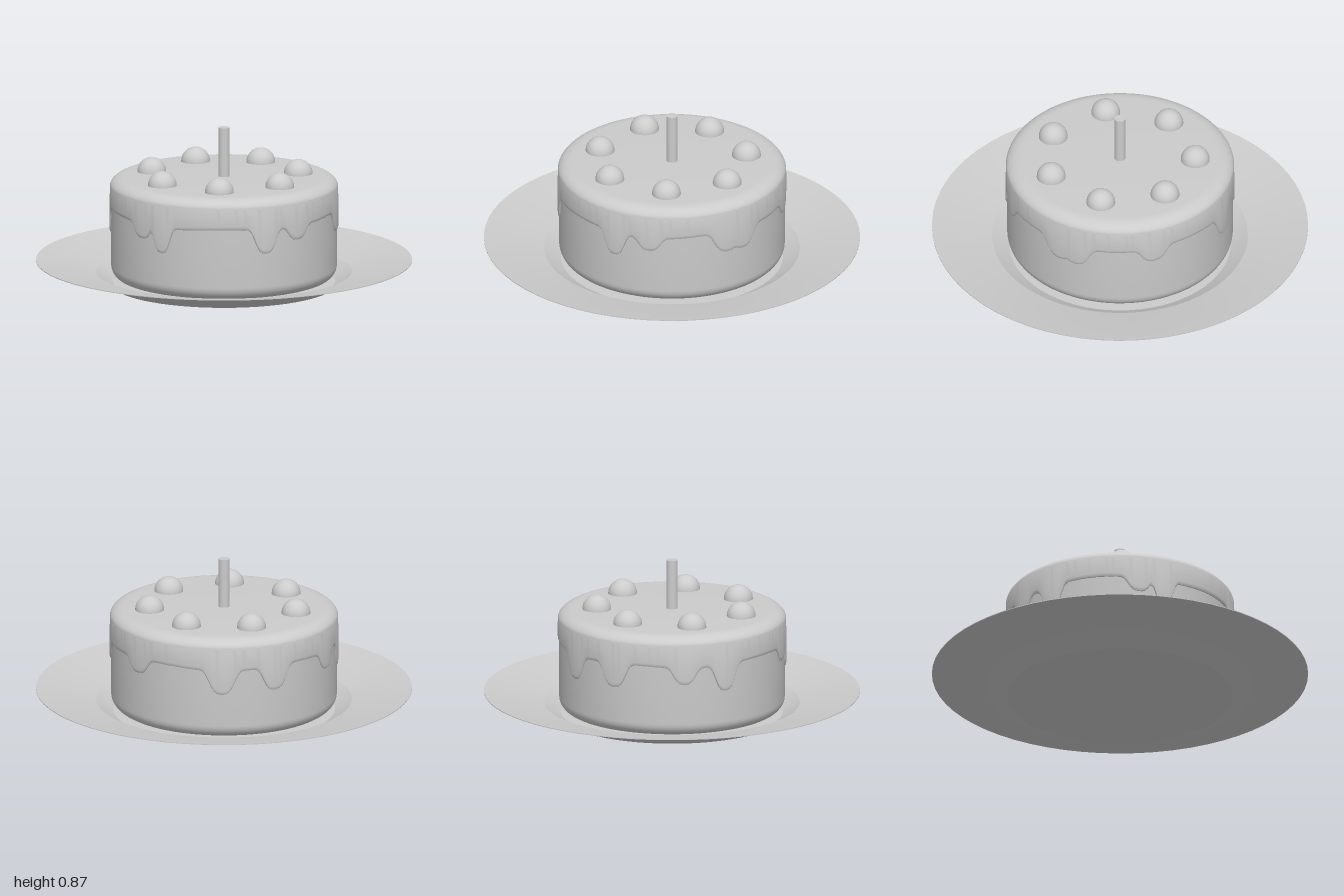
import * as THREE from 'three';
import { toCreasedNormals } from 'three/addons/utils/BufferGeometryUtils.js';

const material = new THREE.MeshStandardMaterial({ color: 0xcccccc });
const TAU = Math.PI * 2;

function add(group, name, geometry) {
  const mesh = new THREE.Mesh(geometry, material);
  mesh.name = name;
  group.add(mesh);
  return mesh;
}

function lathe(points, segments) {
  return new THREE.LatheGeometry(points.map(([r, y]) => new THREE.Vector2(r, y)), segments);
}

// Rounded corner as a list of [radius, height] points
function corner(cr, cy, rr, ry, from, to, steps = 8) {
  return Array.from({ length: steps + 1 }, (_, i) => {
    const a = from + ((to - from) * i) / steps;
    return [cr + rr * Math.cos(a), cy + ry * Math.sin(a)];
  });
}

// Icing drips: [angle from the front in degrees, half width, length]
const drips = [
  [-99, 7, 0.09], [-77, 7, 0.14], [-30, 7, 0.075], [-17, 6, 0.135],
  [38, 7, 0.13], [57, 7, 0.07], [98, 9, 0.115], [107, 9, 0.115],
  [148, 8, 0.08], [196, 8, 0.13], [224, 8, 0.13],
];

// Height of the icing's lower edge at an angle in radians
function icingEdge(angle) {
  const deg = THREE.MathUtils.radToDeg(angle);
  let drop = 0;
  for (const [centre, width, length] of drips) {
    const d = Math.abs(((deg - centre + 540) % 360) - 180) / width;
    drop = Math.max(drop, length * Math.exp(-Math.pow(d, 4) * 1.2 - d * d * 0.3));
  }
  return 0.435 + 0.006 * Math.sin(angle * 5) - drop;
}

// Icing shell whose lower rows follow the drips
function icingGeometry() {
  const wall = [[0.596, 0], [0.603, 0.002], [0.607, 0.01], [0.608, 0.02], [0.607, 0.55]];
  const top = corner(0.52, 0.55, 0.087, 0.055, 0, Math.PI / 2, 10).slice(1);
  const geometry = lathe([...wall, ...top, [0, 0.605]], 240);
  const pos = geometry.attributes.position;
  for (let i = 0; i < pos.count; i++) {
    if (pos.getY(i) > 0.1) continue;
    const angle = Math.atan2(pos.getX(i), pos.getZ(i));
    pos.setY(i, pos.getY(i) + icingEdge((angle + TAU) % TAU));
  }
  return toCreasedNormals(geometry, 0.6);
}

export function createModel() {
  const cake = new THREE.Group();
  cake.name = 'cakeOnPlate';

  // Plate: underside out to the rim, then back along the upper side
  const plate = lathe([
    [0, 0], [0.51, 0.005], [0.6, 0.02], [0.71, 0.077], [1, 0.148],
    [1, 0.152], [0.95, 0.143], [0.82, 0.118], [0.68, 0.088], [0.59, 0.035], [0, 0.03],
  ], 64);
  add(cake, 'plate', toCreasedNormals(plate, 0.12));

  // Sponge with a rounded lower edge
  const sponge = lathe([
    [0, 0.055], ...corner(0.53, 0.125, 0.07, 0.07, -Math.PI / 2, 0), [0.6, 0.54], [0, 0.54],
  ], 96);
  add(cake, 'sponge', toCreasedNormals(sponge, 0.6));

  add(cake, 'icing', icingGeometry());

  // Ring of berries
  const berries = new THREE.Group();
  berries.name = 'berries';
  const berry = new THREE.SphereGeometry(0.077, 32, 20);
  for (let i = 0; i < 7; i++) {
    const a = Math.PI + (i * TAU) / 7;
    add(berries, 'berry', berry).position.set(0.4 * Math.cos(a), 0.605, 0.4 * Math.sin(a));
  }
  cake.add(berries);

  // Candle
  add(cake, 'candle', new THREE.CylinderGeometry(0.03, 0.03, 0.28, 32)).position.y = 0.73;

  return cake;
}
